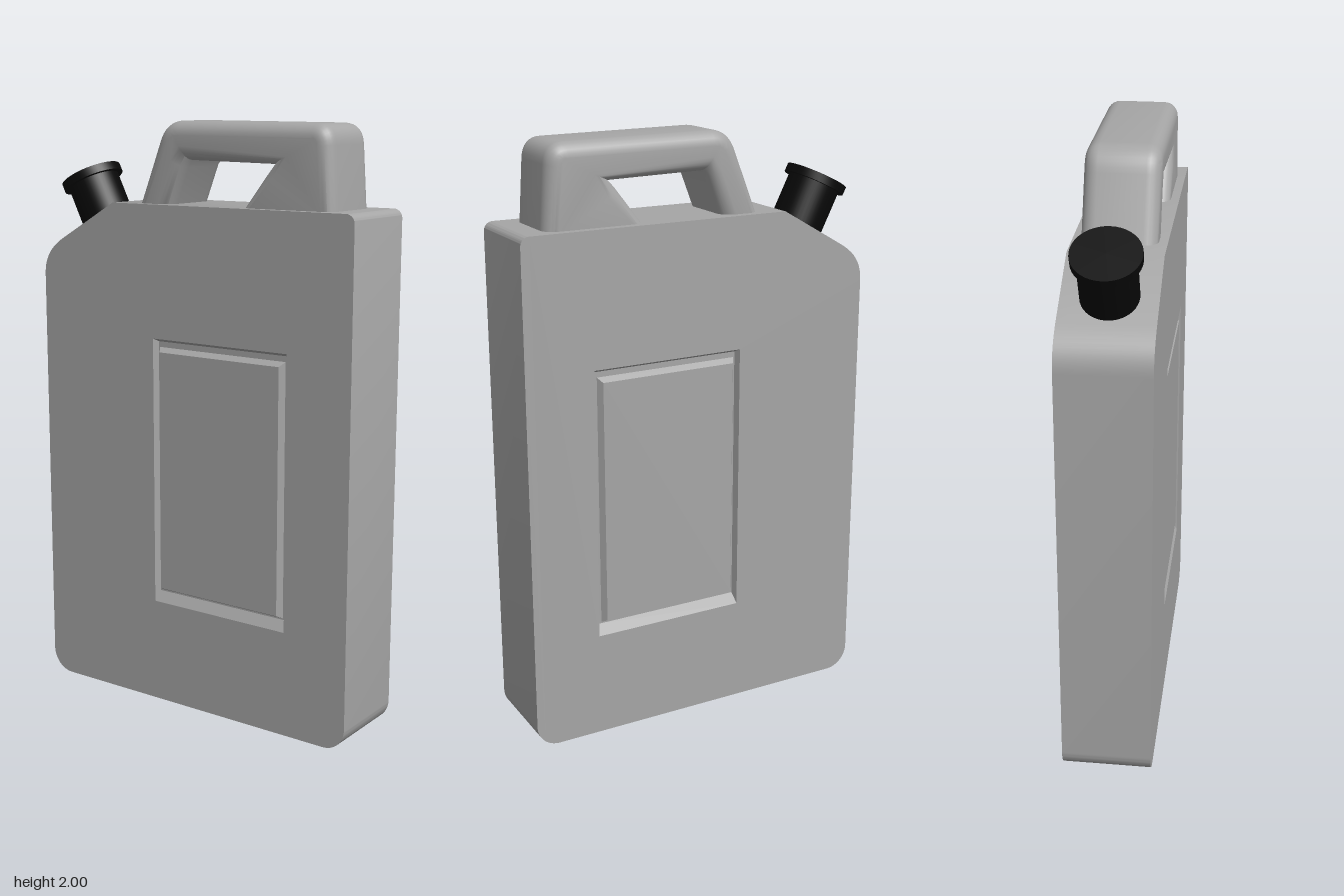
import * as THREE from 'three';
import { toCreasedNormals } from 'three/addons/utils/BufferGeometryUtils.js';

const HALF_DEPTH = 0.148;

// Pressed panel: rectangles [x0, y0, x1, y1, z] from the outer lip, down the groove, up to the raised field
const PANEL = [
  [-0.143, 0.36, 0.39, 1.285, HALF_DEPTH],
  [-0.135, 0.395, 0.385, 1.274, 0.126],
  [-0.13, 0.4, 0.372, 1.255, 0.126],
  [-0.118, 0.41, 0.358, 1.24, 0.145],
];

function rectCorners([x0, y0, x1, y1, z], side) {
  return [[x0, y0], [x1, y0], [x1, y1], [x0, y1]].map(([x, y]) => [x, y, z * side]);
}

function panelGeometry(side) {
  const pos = [];
  const quad = (a, b, c, d) => {
    const order = side > 0 ? [a, b, c, a, c, d] : [a, c, b, a, d, c];
    order.forEach((p) => pos.push(...p));
  };
  const rings = PANEL.map((r) => rectCorners(r, side));
  for (let i = 0; i < rings.length - 1; i++) {
    for (let k = 0; k < 4; k++) {
      const n = (k + 1) % 4;
      quad(rings[i][k], rings[i][n], rings[i + 1][n], rings[i + 1][k]);
    }
  }
  quad(...rings[rings.length - 1]);
  const geo = new THREE.BufferGeometry();
  geo.setAttribute('position', new THREE.Float32BufferAttribute(pos, 3));
  geo.computeVertexNormals();
  return geo;
}

// Flat-sided can with rounded corners and a sloping shoulder, open where the panels sit
function bodyGeometry() {
  const s = new THREE.Shape();
  s.moveTo(-0.54, 0);
  s.lineTo(0.545, 0);
  s.absarc(0.545, 0.08, 0.08, -Math.PI / 2, 0);
  s.lineTo(0.625, 1.7);
  s.absarc(0.595, 1.7, 0.03, 0, Math.PI / 2);
  s.lineTo(-0.31, 1.73);
  s.lineTo(-0.535, 1.6);
  s.bezierCurveTo(-0.59, 1.568, -0.62, 1.53, -0.62, 1.47);
  s.lineTo(-0.62, 0.08);
  s.absarc(-0.54, 0.08, 0.08, Math.PI, Math.PI * 1.5);

  const [x0, y0, x1, y1] = PANEL[0];
  const hole = new THREE.Path();
  hole.moveTo(x0, y0);
  hole.lineTo(x0, y1);
  hole.lineTo(x1, y1);
  hole.lineTo(x1, y0);
  hole.closePath();
  s.holes.push(hole);

  const geo = new THREE.ExtrudeGeometry(s, { depth: HALF_DEPTH * 2, bevelEnabled: false, curveSegments: 10 });
  geo.translate(0, 0, -HALF_DEPTH);
  return toCreasedNormals(geo, 0.6);
}

// Arched grip with two legs sunk into the top, all edges rounded
function handleGeometry() {
  const bevel = 0.045;
  const halfWidth = 0.12;
  const s = new THREE.Shape();
  s.moveTo(-0.252, 1.67);
  s.lineTo(-0.15, 1.93);
  s.quadraticCurveTo(-0.125, 2.0, -0.06, 2.0);
  s.lineTo(0.45, 1.995);
  s.quadraticCurveTo(0.51, 1.995, 0.516, 1.93);
  s.lineTo(0.534, 1.67);
  s.lineTo(0.145, 1.67);
  s.lineTo(0.28, 1.845);
  s.lineTo(0.302, 1.868);
  s.lineTo(-0.03, 1.874);
  s.lineTo(-0.045, 1.85);
  s.lineTo(-0.115, 1.67);
  s.closePath();
  const depth = (halfWidth - bevel) * 2;
  const geo = new THREE.ExtrudeGeometry(s, {
    depth, bevelThickness: bevel, bevelSize: bevel, bevelOffset: -bevel,
    bevelSegments: 6, curveSegments: 8,
  });
  geo.translate(0, 0, -depth / 2);
  return toCreasedNormals(geo, 0.7);
}

// Neck and rimmed cap, turned about its own axis with the top at y = 0
function capGeometry() {
  const profile = [[0, -0.23], [0.09, -0.23], [0.09, -0.028], [0.107, -0.028], [0.107, 0], [0, 0]];
  const geo = new THREE.LatheGeometry(profile.map(([r, y]) => new THREE.Vector2(r, y)), 40);
  return toCreasedNormals(geo, 0.6);
}

export function createModel() {
  const grey = new THREE.MeshStandardMaterial({ color: 0xa6a6a6 });
  grey.name = 'grey plastic';
  const black = new THREE.MeshStandardMaterial({ color: 0x080808 });
  black.name = 'black plastic';

  const model = new THREE.Group();
  model.name = 'jerryCan';
  const add = (name, geo, mat) => {
    const mesh = new THREE.Mesh(geo, mat);
    mesh.name = name;
    model.add(mesh);
    return mesh;
  };

  add('body', bodyGeometry(), grey);
  add('frontPanel', panelGeometry(1), grey);
  add('backPanel', panelGeometry(-1), grey);
  add('handle', handleGeometry(), grey);

  const cap = add('cap', capGeometry(), black);
  cap.position.set(-0.529, 1.812, 0);
  cap.rotation.z = 0.463;

  return model;
}
